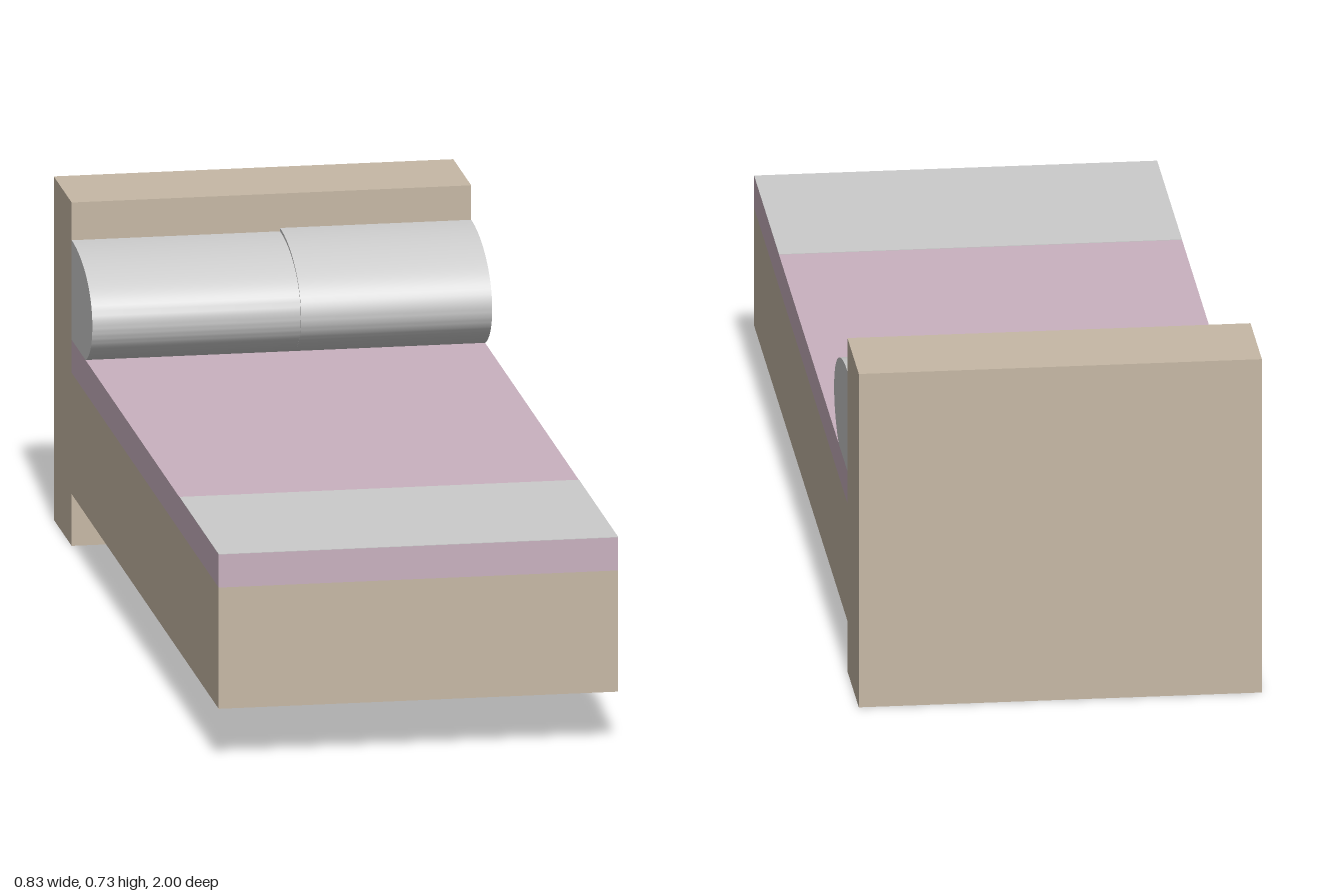
import * as THREE from 'three';
import { toCreasedNormals } from 'three/addons/utils/BufferGeometryUtils.js';

const grey = new THREE.MeshStandardMaterial({ color: 0xcccccc });
const wood = new THREE.MeshStandardMaterial({ color: 0xc6b8a5 });
const pink = new THREE.MeshStandardMaterial({ color: 0xc9b1bf });

const HALF = 0.416;      // half width of the bed
const HEAD_Z = -0.783;   // front face of the headboard
const TOP = 0.437;       // top of the mattress

export function createModel() {
  const model = new THREE.Group();

  function add(name, geometry, material) {
    const mesh = new THREE.Mesh(geometry, material);
    mesh.name = name;
    model.add(mesh);
    return mesh;
  }

  // Full-width block between two heights and two depths
  function block(name, y0, y1, z0, z1, material) {
    const mesh = add(name, new THREE.BoxGeometry(2 * HALF, y1 - y0, z1 - z0), material);
    mesh.position.set(0, (y0 + y1) / 2, (z0 + z1) / 2);
  }

  block('headboard', 0, 0.728, -1, HEAD_Z, wood);
  block('bedBase', 0.11, 0.367, HEAD_Z, 1, wood);
  block('mattress', 0.367, TOP, HEAD_Z, 1, pink);

  // Thin cover across the foot of the bed
  block('footBlanket', TOP, TOP + 0.001, 0.525, 1, grey);

  // Pillow: rounded profile leaning on the headboard, extruded along x
  function pillow(name, x0, x1, top, front) {
    const back = -HEAD_Z;
    const s = new THREE.Shape();
    s.moveTo(back, TOP);
    s.lineTo(back, top);
    s.bezierCurveTo(0.64, top, front, 0.6, front, 0.53);
    s.bezierCurveTo(front, 0.49, 0.565, 0.455, 0.615, TOP);
    s.closePath();
    const g = new THREE.ExtrudeGeometry(s, { depth: x1 - x0, bevelEnabled: false, curveSegments: 20 });
    g.rotateY(Math.PI / 2);
    g.translate(x0, 0, 0);
    add(name, toCreasedNormals(g, 0.5), grey);
  }
  pillow('rightPillow', -HALF, 0.02, 0.648, 0.532);
  pillow('leftPillow', 0.018, HALF, 0.655, 0.528);

  return model;
}
